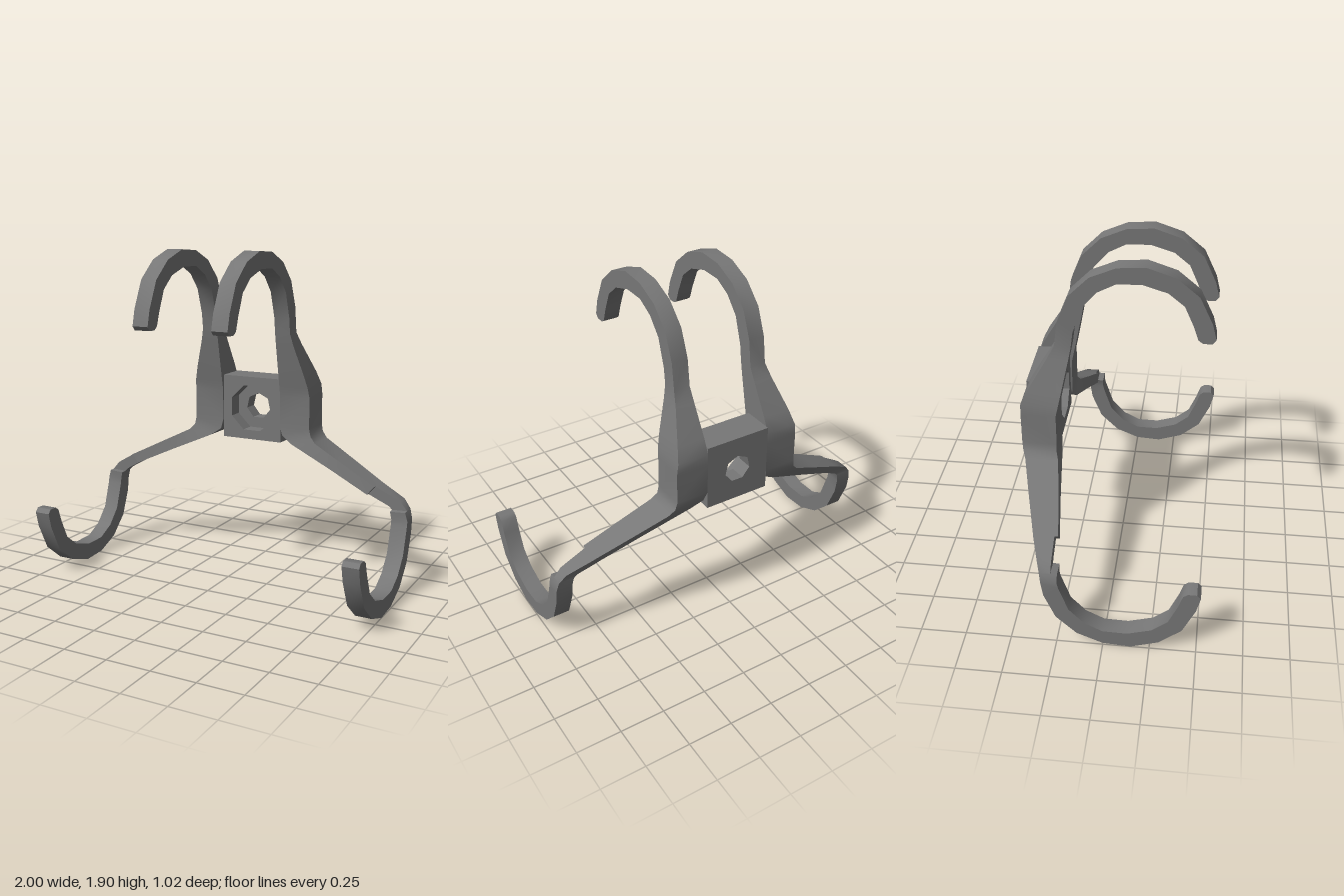
import * as THREE from 'three';
import { toCreasedNormals } from 'three/addons/utils/BufferGeometryUtils.js';

const OFFSET = -0.016;      // mounting block and uprights sit slightly off centre
const INNER_X = 0.19;       // inner face of the uprights, against the block
const MIRROR_Y = 1.915;     // lower hooks are the upper ones flipped: y -> MIRROR_Y - y

// Hook outline from tip to root: outer z, outer y, inner z, inner y
const HOOK = [
  [0.492, 1.497, 0.445, 1.497], [0.512, 1.52, 0.42, 1.515], [0.49, 1.61, 0.395, 1.59],
  [0.42, 1.76, 0.345, 1.705], [0.30, 1.86, 0.26, 1.775], [0.15, 1.91, 0.13, 1.815],
  [0, 1.90, 0, 1.812], [-0.14, 1.84, -0.10, 1.76], [-0.25, 1.73, -0.18, 1.67],
  [-0.31, 1.58, -0.23, 1.52], [-0.33, 1.43, -0.242, 1.43],
];

// Upright: outer x, y, back z, front z
const UPRIGHT = [
  [0.300, 1.36, -0.371, -0.255], [0.351, 1.19, -0.472, -0.29],
  [0.371, 1.11, -0.51, -0.307], [0.378, 1.05, -0.51, -0.32],
];

// Arm: upper x, upper y, upper back z, lower x, lower y, lower back z, front z
const ARM = [
  [0.378, 0.87, -0.51, INNER_X, 0.87, -0.51, -0.32],
  [0.388, 0.825, -0.505, 0.205, 0.815, -0.495, -0.32],
  [0.42, 0.79, -0.49, 0.27, 0.77, -0.47, -0.308],
  [0.60, 0.70, -0.442, 0.53, 0.655, -0.41, -0.28],
  [0.81, 0.595, -0.384, 0.77, 0.545, -0.354, -0.25],
  [0.812, 0.594, -0.384, 0.772, 0.544, -0.354, -0.27],
  [0.945, 0.525, -0.346, 0.88, 0.49, -0.33, -0.27],
  [0.985, 0.477, -0.33, 0.897, 0.472, -0.328, -0.27],
  [0.986, 0.475, -0.33, 0.898, 0.470, -0.328, -0.235],
];

// Four-cornered sections: outer back, inner back, inner front, outer front
const hookSection = ([zo, yo, zi, yi], x0, x1) =>
  [[x1, yo, zo], [x0, yo, zo], [x0, yi, zi], [x1, yi, zi]];
const uprightSection = ([x, y, zb, zf]) =>
  [[x, y, zb], [INNER_X, y, zb], [INNER_X, y, zf], [x, y, zf]];
const armSection = ([xu, yu, zu, xl, yl, zl, zf]) =>
  [[xu, yu, zu], [xl, yl, zl], [xl, yl, zf], [xu, yu, zf]];

// Skin a closed solid over the sections; side = -1 mirrors it in x
function loft(sections, side) {
  const pos = [], idx = [];
  for (const sec of sections) {
    for (const [x, y, z] of sec) pos.push(side * x + (x < 0.85 ? OFFSET : 0), y, z);
  }
  const tri = (a, b, c) => (side > 0 ? idx.push(a, b, c) : idx.push(a, c, b));
  for (let i = 0; i < sections.length - 1; i++) {
    for (let k = 0; k < 4; k++) {
      const a = i * 4 + k, b = i * 4 + (k + 1) % 4;
      tri(a, a + 4, b);
      tri(b, a + 4, b + 4);
    }
  }
  const e = (sections.length - 1) * 4;
  tri(0, 1, 2); tri(0, 2, 3);
  tri(e, e + 2, e + 1); tri(e, e + 3, e + 2);
  const geo = new THREE.BufferGeometry();
  geo.setAttribute('position', new THREE.Float32BufferAttribute(pos, 3));
  geo.setIndex(idx);
  return toCreasedNormals(geo, 0.7);
}

// Square plate with a polygonal hole
function plate(half, sides, radius, startAngle, depth) {
  const shape = new THREE.Shape([[-1, -1], [1, -1], [1, 1], [-1, 1]]
    .map(([x, y]) => new THREE.Vector2(x * half, y * half)));
  const hole = [];
  for (let i = 0; i < sides; i++) {
    const a = startAngle - (i / sides) * Math.PI * 2;
    hole.push(new THREE.Vector2(Math.cos(a) * radius, Math.sin(a) * radius));
  }
  shape.holes.push(new THREE.Path(hole));
  return new THREE.ExtrudeGeometry(shape, { depth, bevelEnabled: false });
}

export function createModel() {
  const group = new THREE.Group();
  const material = new THREE.MeshStandardMaterial({ color: 0x777777 });
  const add = (name, geo, parent = group) => {
    const mesh = new THREE.Mesh(geo, material);
    mesh.name = name;
    parent.add(mesh);
    return mesh;
  };

  // Mounting block with a screw hole and a wider recess in front
  const block = new THREE.Group();
  block.name = 'mountingBlock';
  block.position.set(OFFSET, 0.956, -0.51);
  add('screwHolePlate', plate(INNER_X, 7, 0.079, Math.PI / 2, 0.09), block);
  add('screwRecessPlate', plate(INNER_X, 8, 0.146, Math.PI / 8, 0.09), block).position.z = 0.09;
  group.add(block);

  // Each side is one continuous bar: upper hook, upright, arm, lower hook
  const lowerHook = HOOK.map(([zo, yo, zi, yi]) => [zo, MIRROR_Y - yo, zi, MIRROR_Y - yi]).reverse();
  lowerHook[0] = [-0.322, 0.42, -0.236, 0.425];
  const sections = [
    ...HOOK.map((p) => hookSection(p, INNER_X, 0.284)),
    ...UPRIGHT.map(uprightSection),
    ...ARM.map(armSection),
    ...lowerHook.map((p) => hookSection(p, 0.907, 1)),
  ];
  add('leftHookBar', loft(sections, 1));
  add('rightHookBar', loft(sections, -1));

  return group;
}
